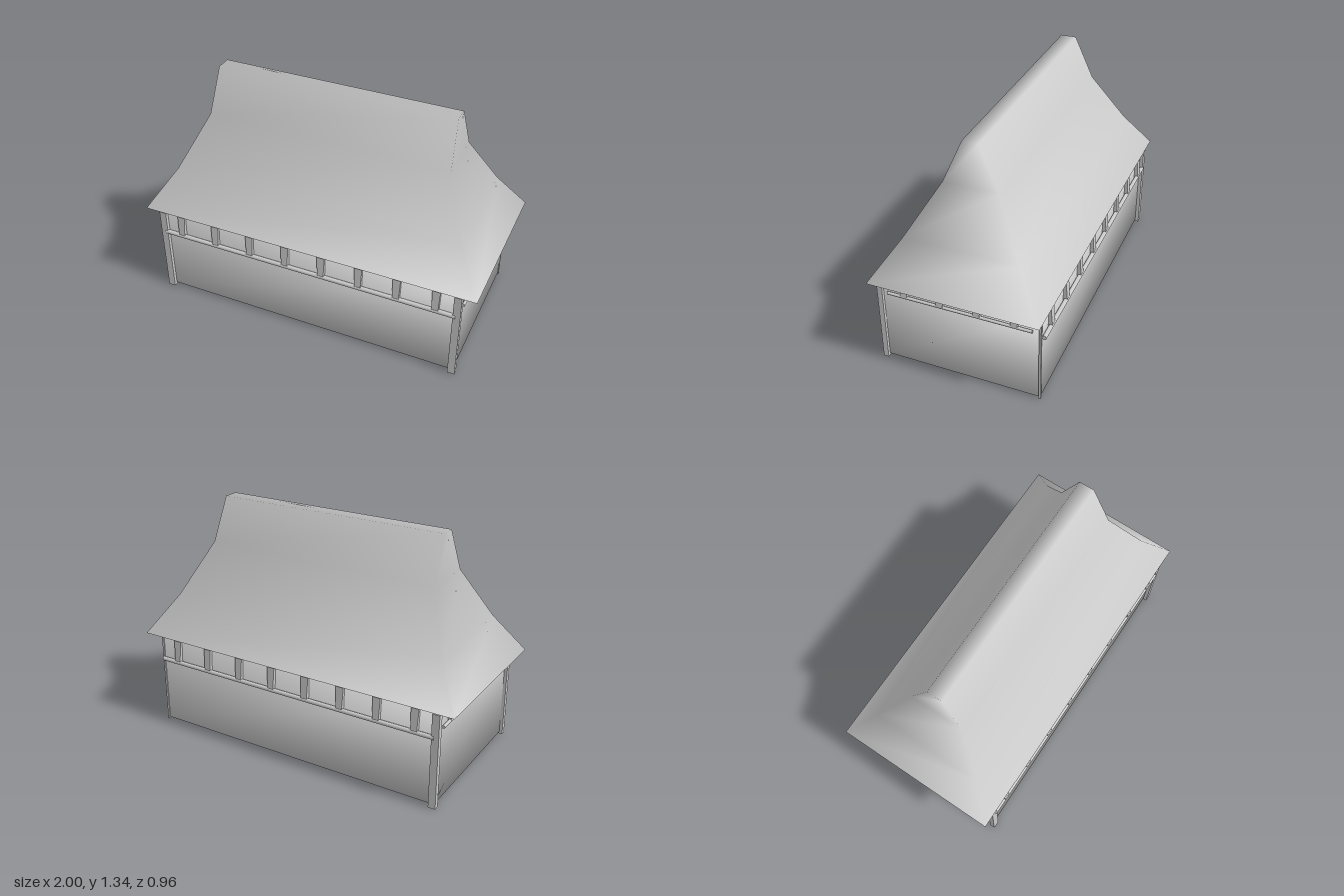
import * as THREE from 'three';

const grey = new THREE.MeshStandardMaterial({ color: 0xcccccc, side: THREE.DoubleSide });

// Smooth-shaded stack of rectangular rings: [y, halfX, halfZ]
function loft(rings, capBottom) {
  const pos = [], idx = [];
  for (const [y, x, z] of rings) pos.push(x, y, z, x, y, -z, -x, y, -z, -x, y, z);
  for (let i = 0; i < rings.length - 1; i++) {
    for (let j = 0; j < 4; j++) {
      const a = i * 4 + j, b = i * 4 + (j + 1) % 4;
      idx.push(a, b, b + 4, a, b + 4, a + 4);
    }
  }
  const t = (rings.length - 1) * 4;
  idx.push(t, t + 1, t + 2, t, t + 2, t + 3);
  if (capBottom) idx.push(0, 2, 1, 0, 3, 2);
  const g = new THREE.BufferGeometry();
  g.setAttribute('position', new THREE.Float32BufferAttribute(pos, 3));
  g.setIndex(idx);
  g.computeVertexNormals();
  return g;
}

function add(parent, name, geometry, x = 0, y = 0, z = 0) {
  const m = new THREE.Mesh(geometry, grey);
  m.name = name;
  m.position.set(x, y, z);
  parent.add(m);
  return m;
}

// Tapered bracket: wider at the top, standing further out at the foot
function bracketGeometry(height, topW, footW, topDepth, footDepth) {
  const g = new THREE.BoxGeometry(1, height, 1);
  const p = g.attributes.position;
  for (let i = 0; i < p.count; i++) {
    const top = p.getY(i) > 0;
    p.setX(i, p.getX(i) * (top ? topW : footW));
    p.setZ(i, p.getZ(i) > 0 ? (top ? topDepth : footDepth) : -0.01);
  }
  g.computeVertexNormals();
  return g;
}

// Rail with brackets above it, facing +z
function gallery(name, length, railY, railR, count, spacing, depth) {
  const g = new THREE.Group();
  g.name = name;
  const rail = new THREE.CylinderGeometry(railR, railR, length, 8);
  rail.rotateZ(Math.PI / 2);
  add(g, 'rail', rail, 0, railY, depth * 0.6);
  const h = 0.55 - railY;
  const bracket = bracketGeometry(h, 0.046, 0.036, depth * 0.6, depth);
  for (let i = 0; i < count; i++) {
    add(g, 'bracket', bracket, (i - (count - 1) / 2) * spacing, railY + h / 2, 0);
  }
  return g;
}

export function createModel() {
  const model = new THREE.Group();
  model.name = 'hippedRoofHouse';

  // Walls
  add(model, 'walls', loft([[0.012, 0.9, 0.45], [0.55, 0.9, 0.45]], true));

  // Flared hipped roof with a steep gablet along the ridge
  add(model, 'roof', loft([
    [0.56, 1, 0.48], [0.79, 0.85, 0.33], [1.09, 0.712, 0.155], [1.34, 0.698, 0.045],
  ], false));

  // Flat underside of the eaves
  const soffit = new THREE.PlaneGeometry(2, 0.96);
  soffit.rotateX(Math.PI / 2);
  add(model, 'eaveUnderside', soffit, 0, 0.56, 0);

  // Corner posts, the back left one slimmer
  for (const sx of [-1, 1]) {
    for (const sz of [-1, 1]) {
      const slim = sx > 0 && sz < 0;
      const w = slim ? 0.014 : 0.042, d = slim ? 0.012 : 0.03;
      add(model, 'cornerPost', new THREE.BoxGeometry(w, 0.55, d),
        sx * (slim ? 0.898 : 0.897), 0.275, sz * (slim ? 0.448 : 0.456));
    }
  }

  // Rails and brackets on the four sides
  for (const s of [1, -1]) {
    const long = gallery(s > 0 ? 'frontGallery' : 'backGallery', 1.78, 0.415, 0.013, 8, 0.222, 0.024);
    long.position.z = s * 0.45;
    long.rotation.y = s > 0 ? 0 : Math.PI;
    const short = gallery(s > 0 ? 'leftGallery' : 'rightGallery', 0.82, 0.457, 0.009, 4, 0.208, 0.022);
    short.position.x = s * 0.9;
    short.rotation.y = s * Math.PI / 2;
    model.add(long, short);
  }
  return model;
}
